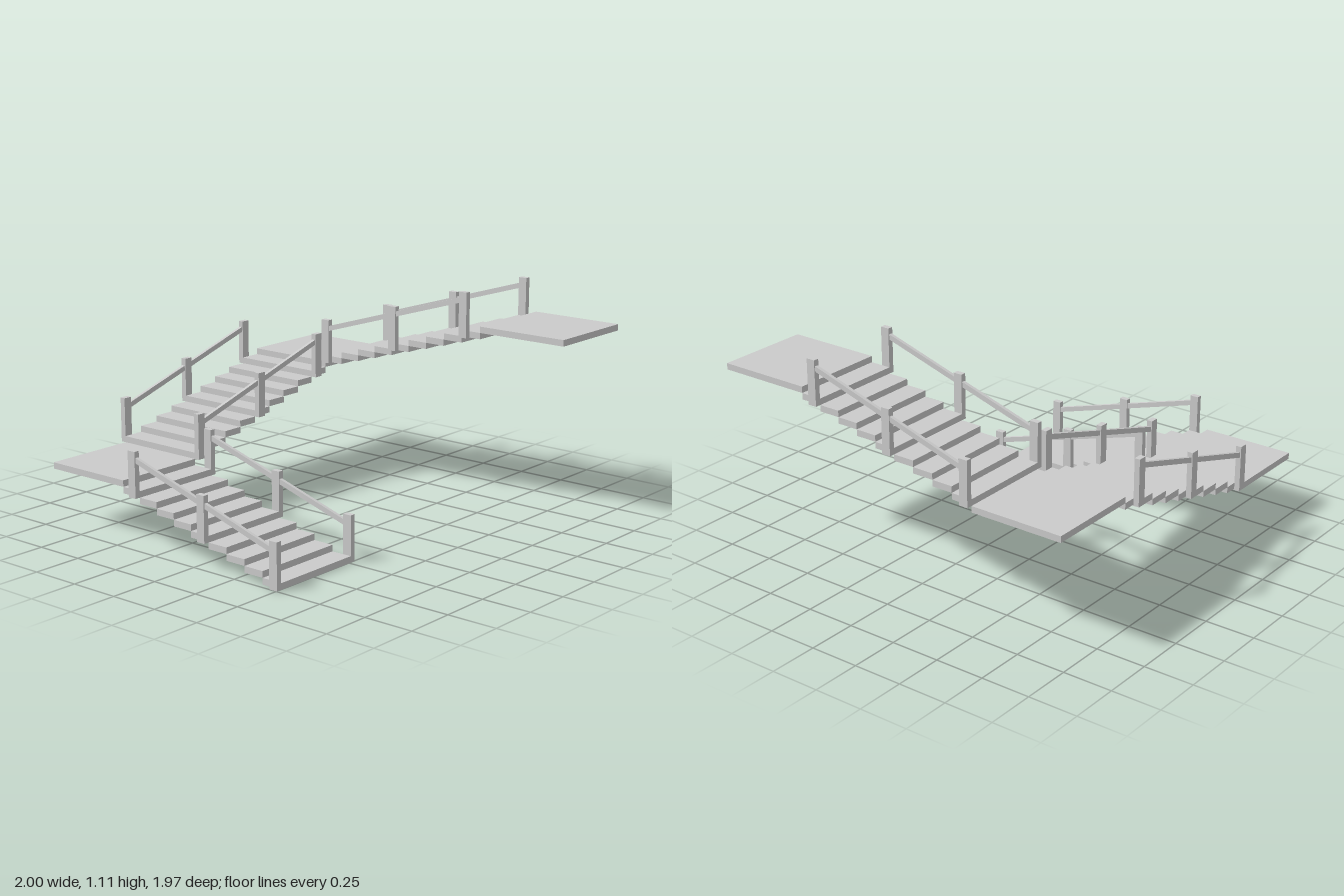
import * as THREE from 'three';

const WIDTH = 0.48;      // tread width and landing side
const RISE = 0.0315;     // height of one step, also slab thickness
const RUN = 0.1091;      // depth of one tread
const STEPS = 9;
const POST = { w: 0.028, h: 0.226, d: 0.045 };
const RAIL = { w: 0.017, h: 0.0265, drop: 0.043 };

const material = new THREE.MeshStandardMaterial({ color: 0xcccccc, flatShading: true });

function box(name, w, h, d, x, y, z) {
  const mesh = new THREE.Mesh(new THREE.BoxGeometry(w, h, d), material);
  mesh.name = name;
  mesh.position.set(x, y, z);
  return mesh;
}

// One flight climbing towards local -z from its origin
function createFlight(name) {
  const flight = new THREE.Group();
  flight.name = name;

  for (let i = 0; i < STEPS; i++) {
    flight.add(box('tread', WIDTH, RISE, RUN, 0, (i + 0.5) * RISE, -(i + 0.5) * RUN));
  }

  for (const side of [-1, 1]) {
    const x = side * (WIDTH + POST.w) / 2;

    // Posts beside the first, middle and last tread
    for (const i of [0, 4, 8]) {
      flight.add(box('post', POST.w, POST.h, POST.d, x, i * RISE + POST.h / 2, -i * RUN - POST.d / 2));
    }

    // Sloping handrail between the inner faces of the end posts, with vertical ends
    const y0 = POST.h - RAIL.drop, y1 = y0 + 8 * RISE;
    const z0 = -POST.d, z1 = -8 * RUN;
    const rail = box('handrail', RAIL.w, RAIL.h, z0 - z1, x, (y0 + y1) / 2, (z0 + z1) / 2);
    const p = rail.geometry.attributes.position;
    const slope = (y1 - y0) / (z1 - z0);
    for (let k = 0; k < p.count; k++) p.setY(k, p.getY(k) + slope * p.getZ(k));
    rail.geometry.computeVertexNormals();
    flight.add(rail);
  }
  return flight;
}

export function createModel() {
  const model = new THREE.Group();
  model.name = 'staircase';
  const storey = (STEPS + 1) * RISE;

  // Three flights turning around a square well
  const flights = [
    ['lowerFlight', -0.731, 0.504, 0],
    ['middleFlight', -0.491, -0.718, -Math.PI / 2],
    ['upperFlight', 0.731, -0.478, Math.PI],
  ];
  flights.forEach(([name, x, z, turn], i) => {
    const flight = createFlight(name);
    flight.position.set(x, i * storey, z);
    flight.rotation.y = turn;
    model.add(flight);
  });

  // Square landing at the head of each flight
  const landings = [
    ['lowerLanding', -0.731, -0.718],
    ['middleLanding', 0.731, -0.718],
    ['topLanding', 0.731, 0.744],
  ];
  landings.forEach(([name, x, z], i) => {
    model.add(box(name, WIDTH, RISE, WIDTH, x, (i + 1) * storey - RISE / 2, z));
  });

  return model;
}
